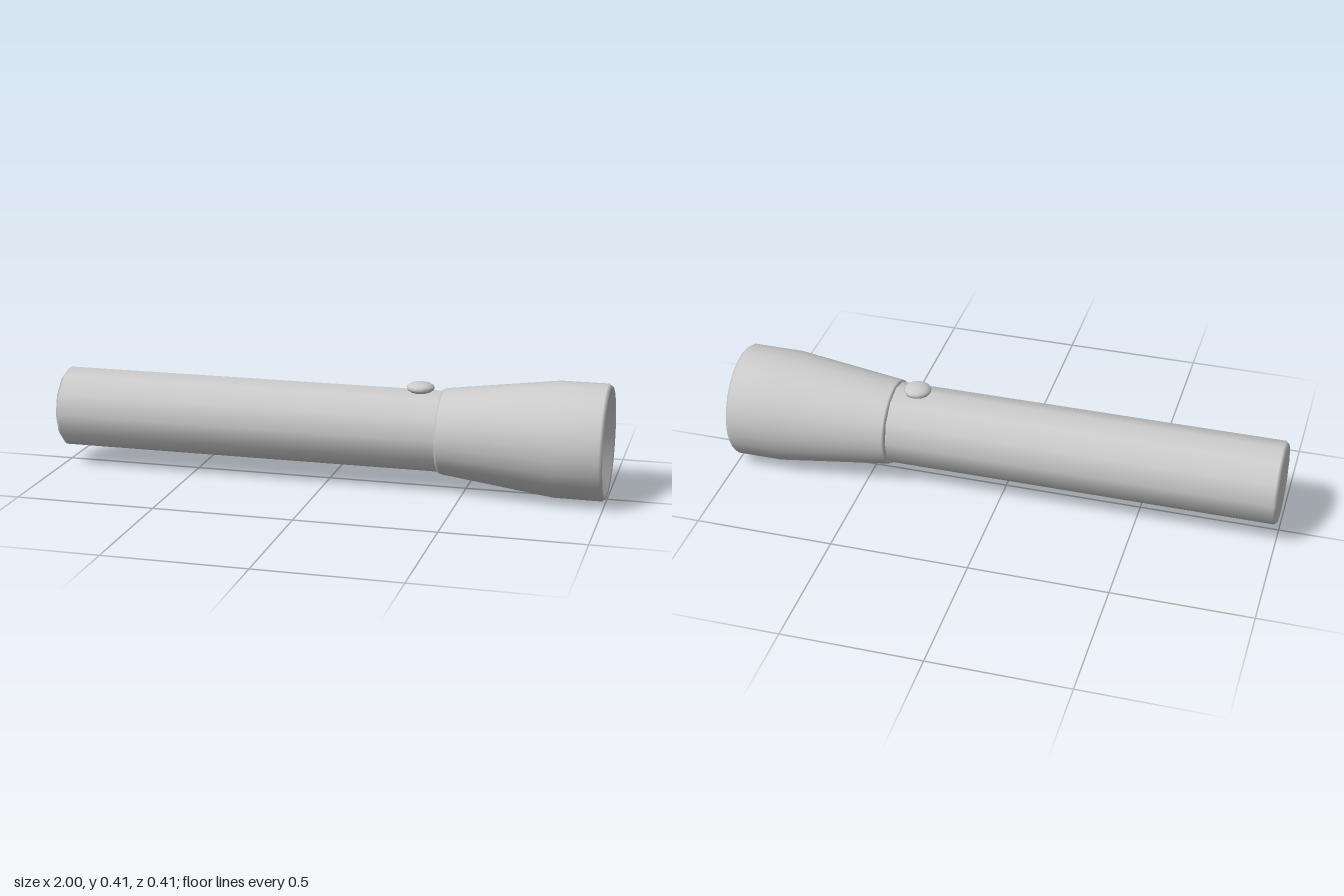
import * as THREE from 'three';

const AXIS_Y = 0.205;
const material = new THREE.MeshStandardMaterial({ color: 0xcccccc });

// Turned part along +x; each profile point is [radius, x]
function turned(name, profile, sides) {
  const points = profile.map(([r, x]) => new THREE.Vector2(r, x));
  const geometry = new THREE.LatheGeometry(points, sides, Math.PI / 2);
  geometry.rotateZ(-Math.PI / 2);
  const mesh = new THREE.Mesh(geometry, material);
  mesh.name = name;
  mesh.position.y = AXIS_Y;
  return mesh;
}

export function createModel() {
  const flashlight = new THREE.Group();
  flashlight.name = 'flashlight';

  // Plain barrel with a slightly rounded tail
  flashlight.add(turned('barrel', [
    [0, -1], [0.138, -1], [0.148, -0.988], [0.148, 0.43],
  ], 12));

  // Flared head, rounded rim, dished reflector and bulb in one profile
  const head = turned('head', [
    [0.14, 0.41], [0.158, 0.411], [0.161, 0.42], [0.205, 0.82], [0.205, 0.988],
    [0.196, 1], [0.19, 0.995], [0.036, 0.895],
    [0.03, 0.905], [0.029, 0.918], [0.022, 0.931], [0.011, 0.938], [0, 0.94],
  ], 26);
  // The neck is a little flatter than it is wide
  const position = head.geometry.attributes.position;
  for (let i = 0; i < position.count; i++) {
    if (position.getX(i) < 0.5) position.setY(i, position.getY(i) * 0.95);
  }
  flashlight.add(head);

  // Squashed push button on top of the barrel
  const button = new THREE.Mesh(new THREE.SphereGeometry(0.05, 14, 8), material);
  button.name = 'button';
  button.scale.y = 0.42;
  button.position.set(0.33, 0.359, 0);
  flashlight.add(button);

  return flashlight;
}
